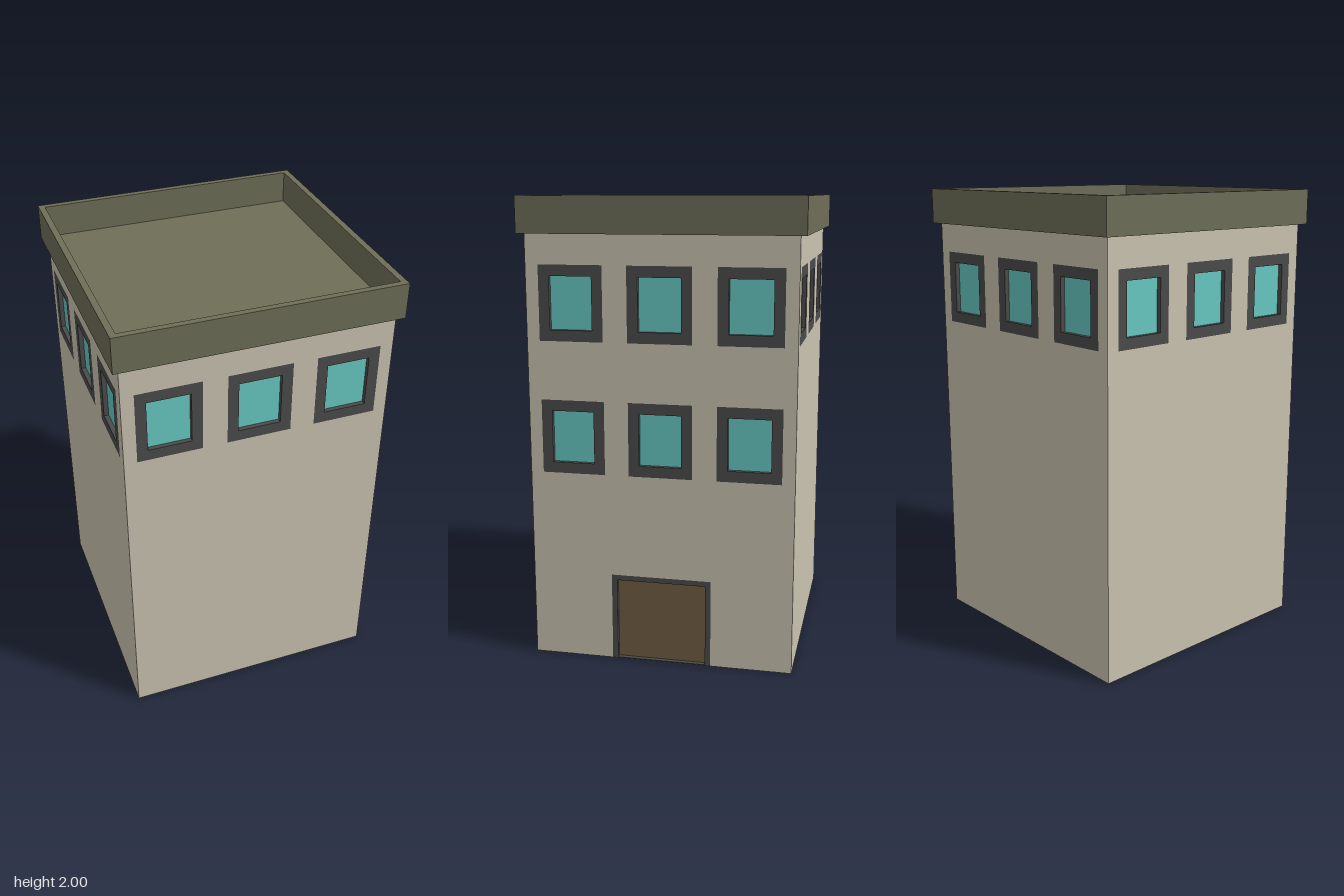
import * as THREE from 'three';

const HALF = 0.57, ROOF_HALF = 0.597, ROOF_Y = 1.86, RECESS = 0.02;
const mat = (color) => new THREE.MeshStandardMaterial({ color, side: THREE.DoubleSide, flatShading: true });

// Rectangle outline, as a shape or a hole
function rect(Type, x0, y0, x1, y1) {
  const p = new Type();
  p.moveTo(x0, y0);
  p.lineTo(x1, y0);
  p.lineTo(x1, y1);
  p.lineTo(x0, y1);
  p.closePath();
  return p;
}

function add(group, name, geometry, material) {
  const mesh = new THREE.Mesh(geometry, material);
  mesh.name = name;
  group.add(mesh);
  return mesh;
}

export function createModel() {
  const model = new THREE.Group();
  model.name = 'building';
  const wallMat = mat(0xcac3b0), frameMat = mat(0x4b4b4b), glassMat = mat(0x68c9c3);
  const doorMat = mat(0x735d43), roofMat = mat(0x6e6e58);

  // Framed opening: flush frame with a recessed panel
  function opening(name, material, outer, inner) {
    const group = new THREE.Group();
    group.name = name;
    const ring = rect(THREE.Shape, ...outer);
    ring.holes.push(rect(THREE.Path, ...inner));
    const frame = new THREE.ExtrudeGeometry(ring, { depth: RECESS, bevelEnabled: false });
    add(group, name + 'Frame', frame.translate(0, 0, -RECESS), frameMat);
    const panel = new THREE.ShapeGeometry(rect(THREE.Shape, ...inner));
    add(group, name + 'Panel', panel.translate(0, 0, -RECESS), material);
    return group;
  }

  // One side of the building, drawn facing +z and then turned
  function side(name, angle, rows, hasDoor) {
    const group = new THREE.Group();
    group.name = name;
    const wall = rect(THREE.Shape, -HALF, 0, HALF, ROOF_Y);
    const cutouts = [];
    for (const y of rows) {
      for (const x of [-0.378, 0, 0.378]) {
        const outer = [x - 0.137, y - 0.159, x + 0.137, y + 0.159];
        group.add(opening('window', glassMat, outer, [x - 0.091, y - 0.112, x + 0.091, y + 0.112]));
        cutouts.push(outer);
      }
    }
    if (hasDoor) {
      const outer = [-0.218, 0.001, 0.218, 0.387];
      group.add(opening('door', doorMat, outer, [-0.194, 0.004, 0.194, 0.364]));
      cutouts.push(outer);
    }
    for (const c of cutouts) wall.holes.push(rect(THREE.Path, ...c));
    add(group, 'wall', new THREE.ShapeGeometry(wall), wallMat);
    for (const child of group.children) child.position.z = HALF;
    group.rotation.y = angle;
    model.add(group);
  }

  const upper = 1.562, lower = 0.993;
  side('frontSide', 0, [upper], false);
  side('leftSide', Math.PI / 2, [upper, lower], true);
  side('backSide', Math.PI, [upper], false);
  side('rightSide', -Math.PI / 2, [upper], false);

  // Parapet around the sunken flat roof
  const rim = rect(THREE.Shape, -ROOF_HALF, -ROOF_HALF, ROOF_HALF, ROOF_HALF);
  rim.holes.push(rect(THREE.Path, -HALF, -HALF, HALF, HALF));
  const parapet = new THREE.ExtrudeGeometry(rim, { depth: 0.153, bevelEnabled: false });
  add(model, 'parapet', parapet.rotateX(-Math.PI / 2).translate(0, 1.847, 0), roofMat);
  const deck = new THREE.PlaneGeometry(HALF * 2, HALF * 2);
  add(model, 'roofDeck', deck.rotateX(-Math.PI / 2).translate(0, ROOF_Y, 0), roofMat);

  return model;
}
